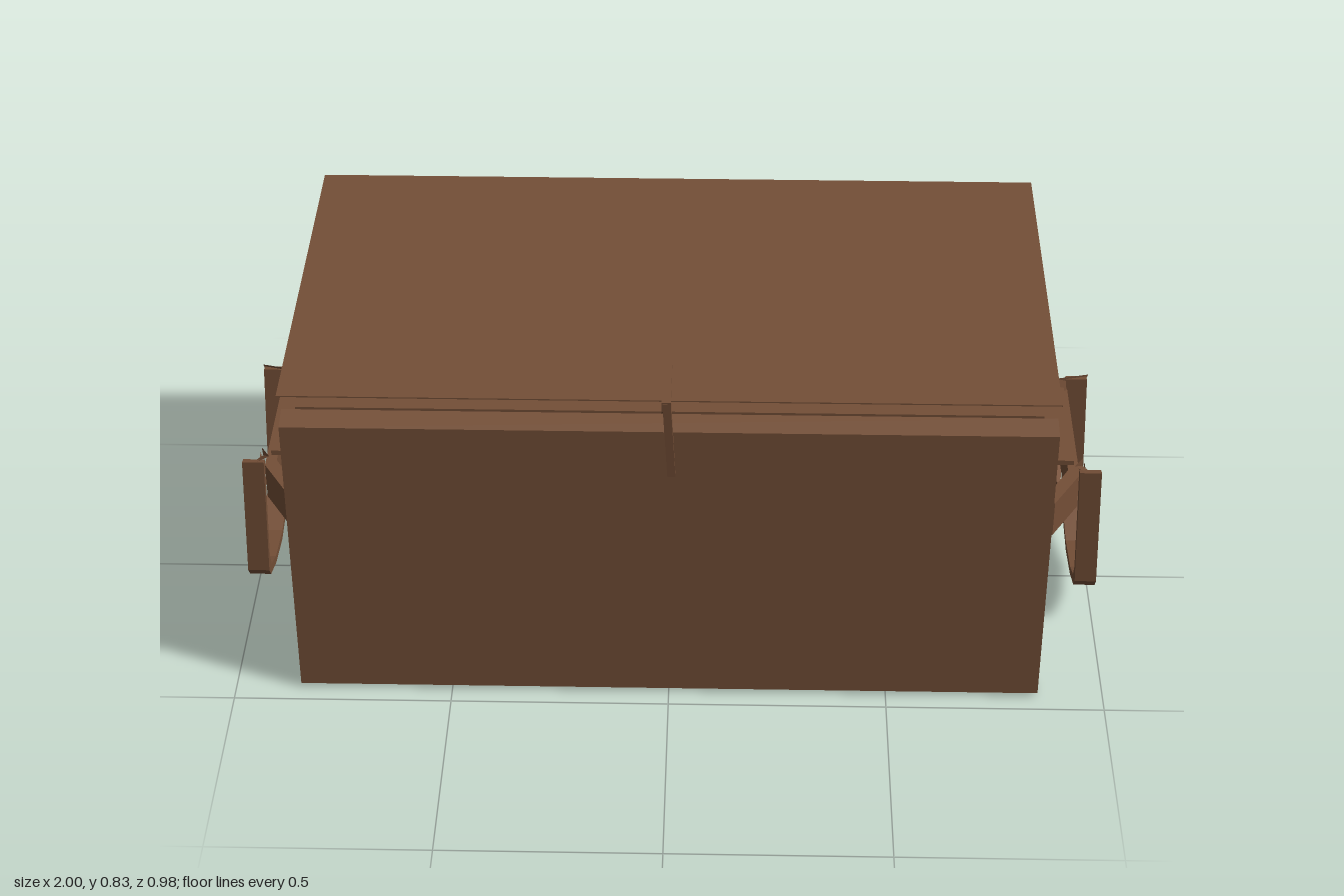
import * as THREE from 'three';

const wood = new THREE.MeshStandardMaterial({ color: 0x744f37, side: THREE.DoubleSide, flatShading: true });
wood.name = 'brown wood';

function add(parent, name, geometry) {
  const mesh = new THREE.Mesh(geometry, wood);
  mesh.name = name;
  parent.add(mesh);
  return mesh;
}

// Outline of [z, y] points extruded along x
function prism(points, x0, x1) {
  const shape = new THREE.Shape(points.map(([z, y]) => new THREE.Vector2(-z, y)));
  const g = new THREE.ExtrudeGeometry(shape, { depth: x1 - x0, bevelEnabled: false });
  return g.rotateY(Math.PI / 2).translate(x0, 0, 0);
}

// Outline of [x, z] points extruded along y
function slab(points, y0, y1) {
  const shape = new THREE.Shape(points.map(([x, z]) => new THREE.Vector2(x, -z)));
  const g = new THREE.ExtrudeGeometry(shape, { depth: y1 - y0, bevelEnabled: false });
  return g.rotateX(-Math.PI / 2).translate(0, y0, 0);
}

// Thin convex facet from a loop of [x, y, z] corners
function facet(corners) {
  const pos = [];
  for (let i = 1; i < corners.length - 1; i++) pos.push(...corners[0], ...corners[i], ...corners[i + 1]);
  const g = new THREE.BufferGeometry();
  g.setAttribute('position', new THREE.Float32BufferAttribute(pos, 3));
  g.computeVertexNormals();
  return g;
}

function makeLidBracket(z, dir) {
  const bracket = new THREE.Group();
  bracket.name = 'lidBracket';
  const at = (x, y, dz) => [x, y, z + dir * dz];
  // Long tapering blade under the lid
  add(bracket, 'bracketBlade', facet([at(0.85, 0.79, 0.23), at(0.85, 0.797, -0.14), at(0.81, 0.79, 0), at(0.81, 0.785, 0.19)]));
  // Sloping cheek
  add(bracket, 'bracketCheek', facet([at(0.85, 0.79, 0.19), at(0.82, 0.735, 0.16), at(0.82, 0.735, 0.08), at(0.83, 0.755, 0.01), at(0.85, 0.79, 0)]));
  // Narrow spike lying on the end wall
  add(bracket, 'bracketSpike', facet([at(0.835, 0.76, 0.015), at(0.835, 0.75, -0.005), at(0.828, 0.59, 0)]));
  return bracket;
}

function makeHandle() {
  const handle = new THREE.Group();
  handle.name = 'endHandle';

  // Bridge standing off the wall
  add(handle, 'handleBridge', slab([
    [0.82, -0.305], [0.875, -0.305], [0.94, -0.2], [0.94, 0.17], [0.875, 0.28], [0.82, 0.28],
    [0.86, 0.25], [0.915, 0.15], [0.915, -0.18], [0.86, -0.27],
  ], 0.335, 0.425));
  add(handle, 'bridgeRim', slab([[0.82, -0.17], [0.93, -0.17], [0.93, 0.13], [0.82, 0.13]], 0.425, 0.437));

  // Hanging U-shaped grip, leaning out toward the bottom
  const grip = prism([
    [0.21, 0.46], [0.2, 0.14], [0.175, 0.11], [0.09, 0.078], [-0.02, 0.063], [-0.19, 0.103], [-0.2, 0.45],
    [-0.178, 0.455], [-0.172, 0.122], [-0.03, 0.085], [0.09, 0.098], [0.16, 0.13], [0.182, 0.17], [0.19, 0.455],
  ], 0.935, 0.985);
  const p = grip.attributes.position;
  for (let i = 0; i < p.count; i++) p.setX(i, p.getX(i) + (0.46 - p.getY(i)) * 0.038);
  grip.computeVertexNormals();
  add(handle, 'handleGrip', grip);

  // Folded ears where the grip meets the bridge
  add(handle, 'frontEar', facet([[0.92, 0.482, 0.215], [0.95, 0.45, 0.135], [0.95, 0.42, 0.125], [0.98, 0.44, 0.2]]));
  add(handle, 'frontEarFold', facet([[0.955, 0.425, 0.19], [0.955, 0.43, 0.125], [0.945, 0.355, 0.14], [0.945, 0.35, 0.16]]));
  add(handle, 'backEar', facet([[0.91, 0.462, -0.17], [0.99, 0.455, -0.2], [0.98, 0.425, -0.2], [0.92, 0.42, -0.165]]));

  // Angular ornament below the bridge
  const ornament = [
    [[0.87, 0.32, 0.17], [0.92, 0.305, 0.155], [0.92, 0.255, 0.01], [0.87, 0.29, 0.0]],
    [[0.92, 0.265, 0.095], [0.88, 0.235, 0.08], [0.87, 0.228, -0.09], [0.92, 0.25, -0.1], [0.93, 0.26, 0]],
    [[0.9, 0.33, -0.01], [0.92, 0.245, 0.025], [0.88, 0.24, -0.04]],
    [[0.9, 0.2, 0.03], [0.87, 0.235, 0.06], [0.92, 0.235, 0]],
    [[0.9, 0.29, 0], [0.92, 0.275, 0], [0.94, 0.305, -0.17], [0.92, 0.325, -0.17]],
  ];
  ornament.forEach((c) => add(handle, 'handleOrnament', facet(c)));
  return handle;
}

export function createModel() {
  const model = new THREE.Group();
  model.name = 'chest';

  // Core box, with its ends set in from the front and back boards
  add(model, 'chestBody', new THREE.BoxGeometry(1.64, 0.748, 0.826).translate(0, 0.374, -0.015));

  // Front and back boards, chamfered at top and bottom
  add(model, 'frontBoard', prism([[0.402, 0.005], [0.455, 0.01], [0.455, 0.733], [0.402, 0.745]], -0.85, 0.85));
  add(model, 'backBoard', prism([[-0.432, 0.005], [-0.487, 0.01], [-0.485, 0.733], [-0.432, 0.745]], -0.85, 0.85));

  // Thin flat lid
  add(model, 'lid', new THREE.BoxGeometry(1.7, 0.003, 0.94).translate(0, 0.815, -0.015));

  // Clasp folded over the front edge of the lid
  const clasp = new THREE.Group();
  clasp.name = 'clasp';
  add(clasp, 'claspTop', prism([[0.49, 0.835], [0.32, 0.834], [0.325, 0.828], [0.4, 0.818], [0.478, 0.8], [0.488, 0.81]], -0.014, 0.006));
  const tongue = prism([[0.49, 0.83], [0.478, 0.63], [0.472, 0.63], [0.465, 0.8], [0.47, 0.825]], -0.012, 0.006);
  const t = tongue.attributes.position;
  for (let i = 0; i < t.count; i++) t.setX(i, t.getX(i) + (0.83 - t.getY(i)) * 0.05);
  tongue.computeVertexNormals();
  add(clasp, 'claspTongue', tongue);
  model.add(clasp);

  // Matching fittings on both ends
  for (const side of [1, -1]) {
    const end = new THREE.Group();
    end.name = side > 0 ? 'leftEnd' : 'rightEnd';
    end.add(makeHandle(), makeLidBracket(0.17, 1), makeLidBracket(-0.195, -1));
    end.scale.x = side;
    model.add(end);
  }
  return model;
}
